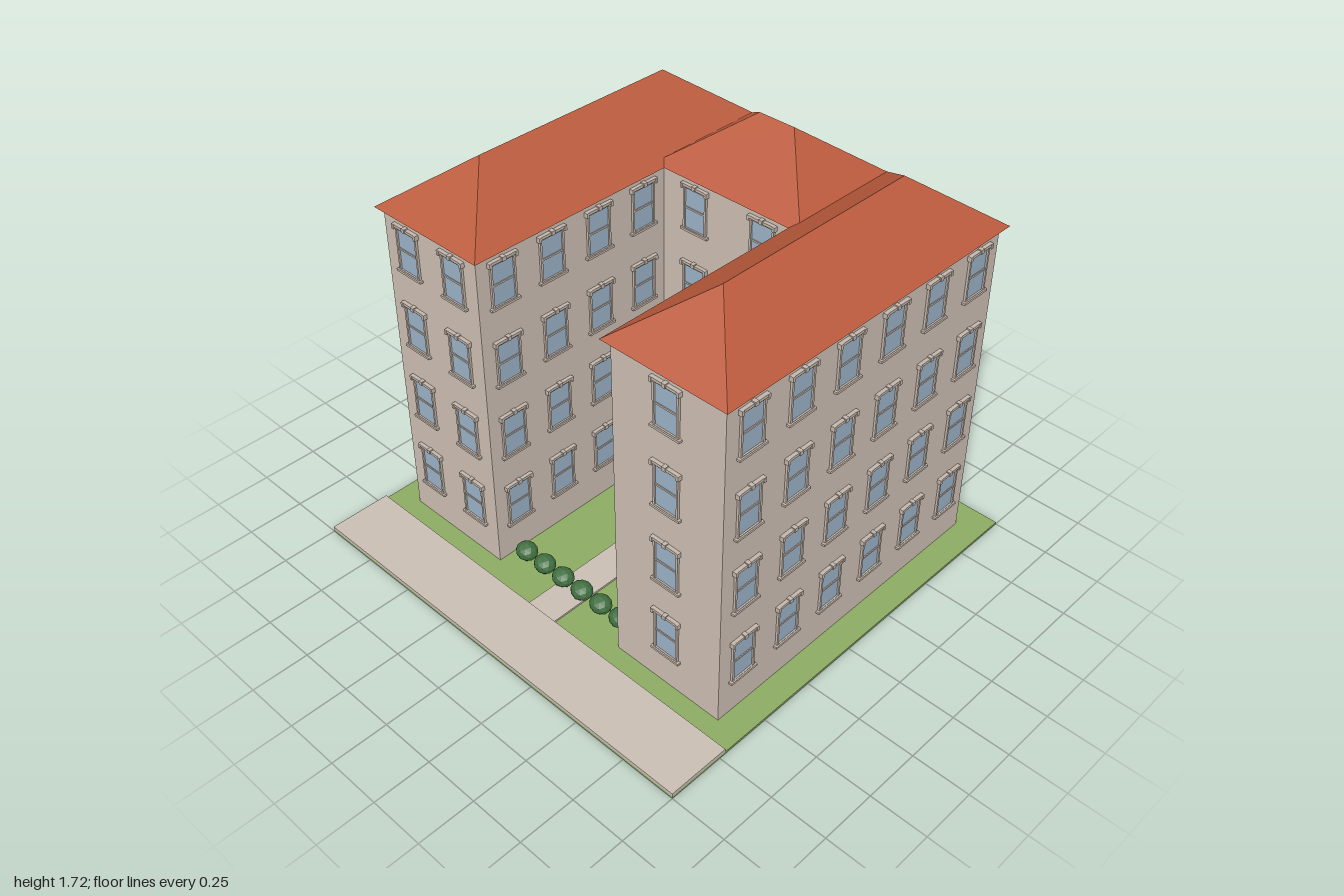
import * as THREE from 'three';
import { mergeGeometries } from 'three/addons/utils/BufferGeometryUtils.js';

const mat = (name, color, flatShading = false) => {
  const m = new THREE.MeshStandardMaterial({ color, flatShading });
  m.name = name;
  return m;
};

// box given by its centre and size
const box = (x, y, z, w, h, d) => new THREE.BoxGeometry(w, h, d).translate(x, y, z);

// closed hip roof with the ridge along z: half width w, half length l, height h
function hipRoof(w, l, h) {
  const r = l - w;
  const p = [[-w, 0, -l], [w, 0, -l], [w, 0, l], [-w, 0, l], [0, h, -r], [0, h, r]];
  const faces = [
    3, 2, 5, 1, 0, 4,                       // hips
    2, 1, 4, 2, 4, 5, 0, 3, 5, 0, 5, 4,     // long slopes
    0, 1, 2, 0, 2, 3,                       // underside
  ];
  const g = new THREE.BufferGeometry();
  g.setAttribute('position', new THREE.Float32BufferAttribute(faces.flatMap((i) => p[i]), 3));
  g.computeVertexNormals();
  return g;
}

export function createModel() {
  const model = new THREE.Group();
  model.name = 'courtyardBuilding';

  const wallMat = mat('plaster', 0xcbbdb2);
  const trimMat = mat('trim', 0xc3b5aa);
  const pavingMat = mat('paving', 0xc9bdb3);
  const glassMat = mat('glass', 0x9ab2c6);
  const roofMat = mat('roofTile', 0xbb5b3d, true);
  const grassMat = mat('grass', 0x8bab62);
  const woodMat = mat('wood', 0x944428);
  const leafMat = mat('treeLeaves', 0x8fb562, true);
  const bushMat = mat('bushLeaves', 0x416f40, true);

  const add = (name, geometry, material, parent = model) => {
    const mesh = new THREE.Mesh(geometry, material);
    mesh.name = name;
    parent.add(mesh);
    return mesh;
  };

  // ground
  add('lawn', box(0, 0.005, 0, 2, 0.01, 2), grassMat);
  add('sidewalk', box(0, 0.0175, 0.86, 2, 0.015, 0.28), pavingMat);
  add('gardenPath', box(0, 0.014, 0.185, 0.15, 0.008, 1.07), pavingMat);

  // U-shaped body, drawn in plan (x, -z) and extruded upwards
  const X = 0.88, IN = 0.35, FRONT = 0.63, BACK = -0.875, TOP = 1.5;
  const plan = new THREE.Shape([
    [-X, FRONT], [-IN, FRONT], [-IN, -IN], [IN, -IN], [IN, FRONT], [X, FRONT], [X, BACK], [-X, BACK],
  ].map(([x, z]) => new THREE.Vector2(x, -z)));
  add('walls', new THREE.ExtrudeGeometry(plan, { depth: TOP - 0.01, bevelEnabled: false })
    .rotateX(-Math.PI / 2).translate(0, 0.01, 0), wallMat);

  // three intersecting hip roofs
  const RISE = 0.22, HALF = 0.2925;
  for (const s of [-1, 1]) {
    add(s < 0 ? 'rightWingRoof' : 'leftWingRoof', hipRoof(HALF, 0.78, RISE), roofMat)
      .position.set(s * 0.6125, TOP, -0.125);
  }
  const midRoof = add('middleRoof', hipRoof(HALF, 0.38, RISE), roofMat);
  midRoof.rotation.y = Math.PI / 2;
  midRoof.position.set(0, TOP, -0.6125);

  // window parts, centred on the opening and facing +z
  const W = 0.104, H = 0.182, T = 0.009;
  const frame = [
    box(0, H / 2 + T / 2, 0.005, W + 2 * T, T, 0.01),
    box(0, -H / 2 - T / 2, 0.005, W + 2 * T, T, 0.01),
    ...[-1, 1].map((s) => box(s * (W + T) / 2, 0, 0.005, T, H, 0.01)),
  ];
  const plainFrame = mergeGeometries(frame);
  const hoodedFrame = mergeGeometries([
    ...frame,
    box(0, 0.002, 0.004, W, 0.008, 0.006),              // crossbar
    box(0, 0.105, 0.008, 0.13, 0.012, 0.016),           // lintel
    box(0, 0.107, 0.01, 0.018, 0.018, 0.02),            // keystone
    ...[-1, 1].map((s) => box(s * 0.064, 0.1, 0.009, 0.012, 0.022, 0.018)), // brackets
    box(0, -0.098, 0.008, 0.142, 0.01, 0.016),          // sill
  ]);
  const pane = box(0, 0, 0.0015, W, H, 0.003);

  // evenly spaced windows on a wall running from (x1, z1) to (x2, z2)
  const windows = new THREE.Group();
  windows.name = 'windows';
  model.add(windows);
  function windowWall(x1, z1, x2, z2, count, turn, hooded = true) {
    for (let floor = 0; floor < 4; floor++) {
      for (let i = 0; i < count; i++) {
        const t = (i + 0.5) / count;
        const win = new THREE.Group();
        win.name = 'window';
        win.position.set(x1 + (x2 - x1) * t, 0.27 + floor * 0.36, z1 + (z2 - z1) * t);
        win.rotation.y = turn * Math.PI / 2;
        add('windowFrame', hooded ? hoodedFrame : plainFrame, trimMat, win);
        add('windowPane', pane, glassMat, win);
        windows.add(win);
      }
    }
  }
  for (const s of [-1, 1]) {
    const perWing = s < 0 ? 2 : 1;
    windowWall(s * IN, FRONT, s * X, FRONT, perWing, 0);        // wing front
    windowWall(s * IN, BACK, s * X, BACK, perWing, 2, false);   // wing back
    windowWall(s * X, BACK, s * X, FRONT, 6, s);                // outer side
    windowWall(s * IN, -IN, s * IN, FRONT, 4, -s);              // courtyard side
  }
  windowWall(-IN, -IN, IN, -IN, 2, 0);
  windowWall(-IN, BACK, IN, BACK, 2, 2, false);

  // trees
  for (const [x, z] of [[-0.2, -0.065], [0.2, 0.245]]) {
    const tree = new THREE.Group();
    tree.name = 'tree';
    tree.position.set(x, 0, z);
    add('trunk', new THREE.CylinderGeometry(0.011, 0.013, 0.2, 8).translate(0, 0.105, 0), woodMat, tree);
    add('crown', new THREE.IcosahedronGeometry(0.106, 1).translate(0, 0.272, 0), leafMat, tree);
    model.add(tree);
  }

  // low hedge across the courtyard entrance
  for (let i = 0; i < 6; i++) {
    add('bush', new THREE.IcosahedronGeometry(0.05, 1).scale(1, 0.8, 0.9), bushMat)
      .position.set(-0.275 + i * 0.11, 0.055, 0.545);
  }

  // bench
  const bench = new THREE.Group();
  bench.name = 'bench';
  bench.position.set(0.175, 0, -0.15);
  add('benchSeat', box(0, 0.06, 0, 0.06, 0.012, 0.2), roofMat, bench);
  for (const s of [-1, 1]) add('benchLeg', box(0, 0.032, s * 0.08, 0.05, 0.044, 0.014), woodMat, bench);
  model.add(bench);

  return model;
}
